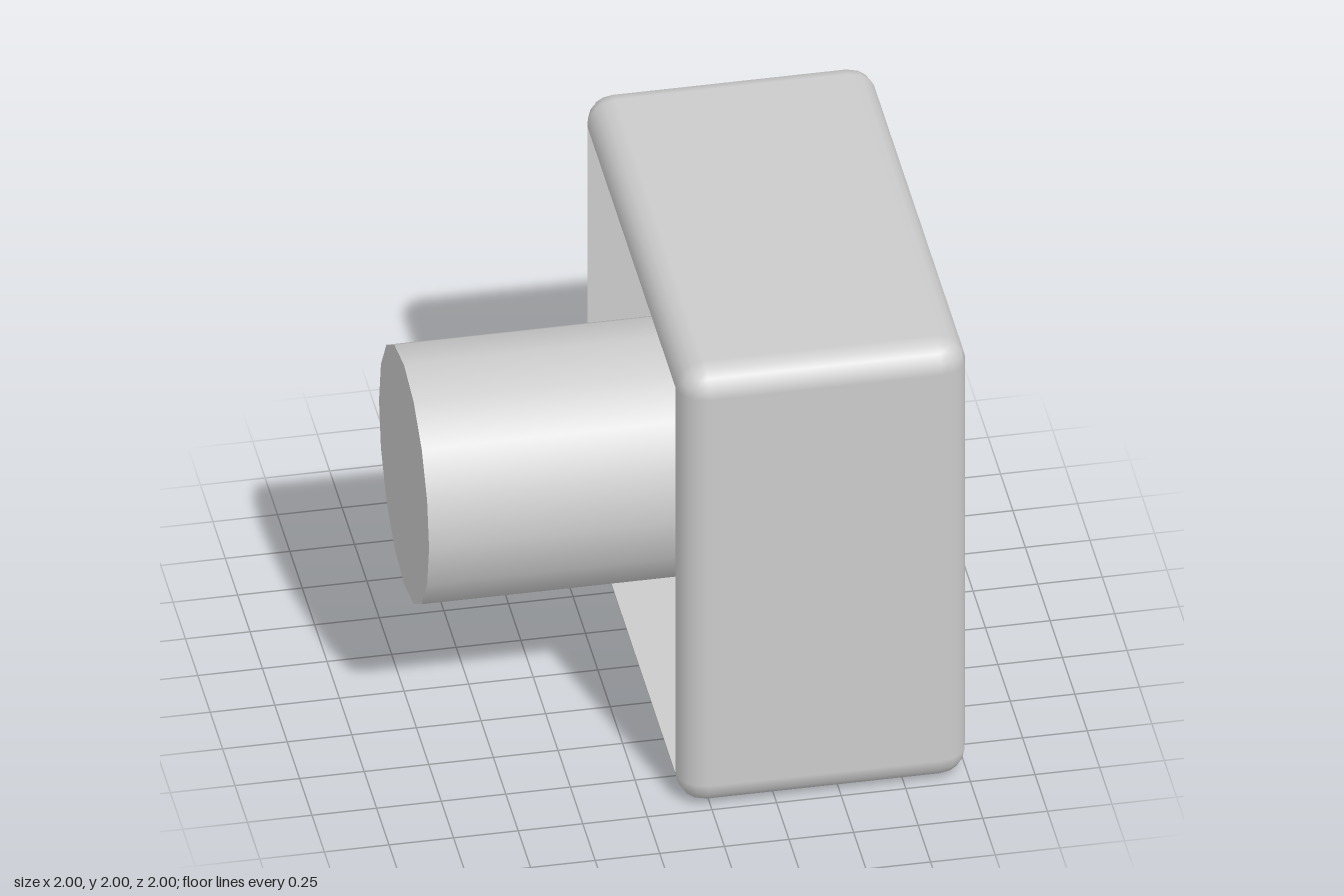
import * as THREE from 'three';
import { RoundedBoxGeometry } from 'three/addons/geometries/RoundedBoxGeometry.js';

const LEFT = -0.12, RIGHT = 1, RADIUS = 0.11, PANEL_X = 0.885;
const DEPTH = RIGHT - LEFT, MID = (LEFT + RIGHT) / 2, HOLE = 2 - 2 * RADIUS;

// Rounded box with the flat faces on both x ends taken out
function openRoundedBox() {
  const geo = new RoundedBoxGeometry(DEPTH, 2, 2, 2, RADIUS);
  const pos = geo.attributes.position, nor = geo.attributes.normal;
  const p = [], n = [];
  for (let i = 0; i < pos.count; i += 3) {
    const flat = [0, 1, 2].every((k) => Math.abs(pos.getX(i + k)) > DEPTH / 2 - 1e-4);
    if (flat) continue;
    for (let k = i; k < i + 3; k++) {
      p.push(pos.getX(k), pos.getY(k), pos.getZ(k));
      n.push(nor.getX(k), nor.getY(k), nor.getZ(k));
    }
  }
  const open = new THREE.BufferGeometry();
  open.setAttribute('position', new THREE.Float32BufferAttribute(p, 3));
  open.setAttribute('normal', new THREE.Float32BufferAttribute(n, 3));
  return open;
}

export function createModel() {
  const group = new THREE.Group();
  group.name = 'squareHeadWithHandle';
  const grey = new THREE.MeshStandardMaterial({ color: 0xcccccc });
  const thin = new THREE.MeshStandardMaterial({ color: 0xcccccc, side: THREE.DoubleSide });

  const add = (name, geometry, material, x, parent = group) => {
    const mesh = new THREE.Mesh(geometry, material);
    mesh.name = name;
    mesh.position.set(x, 1, 0);
    parent.add(mesh);
    return mesh;
  };

  // Outer casing
  add('casing', openRoundedBox(), grey, MID);

  // Four inner walls lining the square opening
  const lining = new THREE.Group();
  lining.name = 'innerWalls';
  for (let i = 0; i < 4; i++) {
    const wall = new THREE.PlaneGeometry(DEPTH, HOLE)
      .translate(0, 0, -HOLE / 2)
      .rotateX((i * Math.PI) / 2);
    add('innerWall', wall, grey, MID, lining);
  }
  group.add(lining);

  // Recessed panel close to the +x end
  add('panel', new THREE.PlaneGeometry(HOLE, HOLE).rotateY(Math.PI / 2), thin, PANEL_X);

  // Round handle running from the panel out through the open side
  const length = PANEL_X + 1;
  add('handle', new THREE.CylinderGeometry(0.505, 0.505, length, 16).rotateZ(Math.PI / 2),
    grey, -1 + length / 2);

  return group;
}
